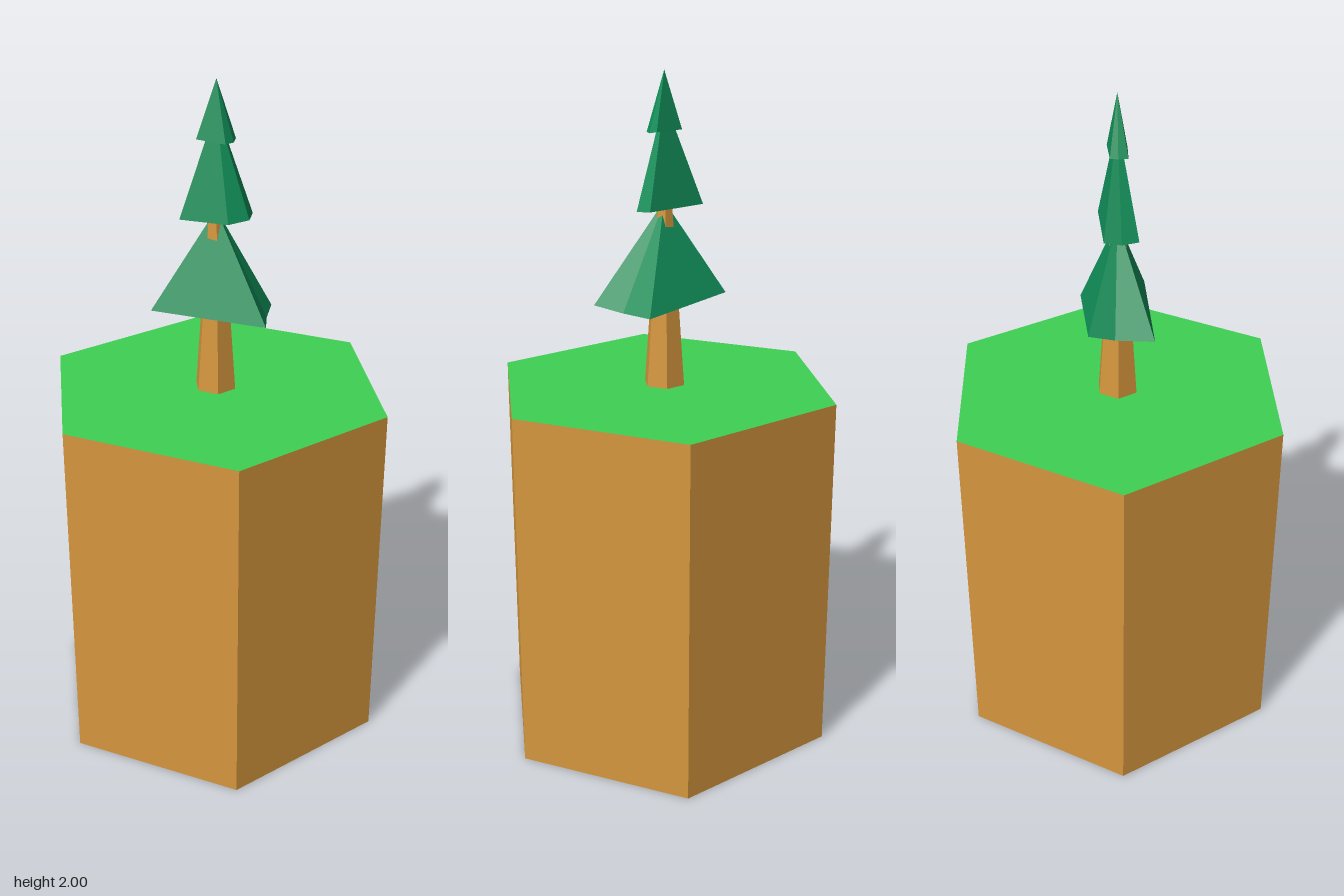
import * as THREE from 'three';

const material = (color) => new THREE.MeshStandardMaterial({ color, flatShading: true });

function addMesh(group, name, geometry, mat) {
  const mesh = new THREE.Mesh(geometry, mat);
  mesh.name = name;
  group.add(mesh);
  return mesh;
}

// Uneven pyramid: ring of [x, y, z] points around the tree, joined to an apex and closed below
function foliageTier(ring, apexY) {
  const apex = [0, apexY, 0];
  const centre = [0, ring.reduce((sum, p) => sum + p[1], 0) / ring.length, 0];
  const positions = [];
  ring.forEach((p, i) => {
    const next = ring[(i + 1) % ring.length];
    positions.push(...apex, ...next, ...p, ...centre, ...p, ...next);
  });
  const geometry = new THREE.BufferGeometry();
  geometry.setAttribute('position', new THREE.Float32BufferAttribute(positions, 3));
  geometry.computeVertexNormals();
  return geometry;
}

export function createModel() {
  const model = new THREE.Group();
  model.name = 'treeTile';
  const earth = material(0xd6973e);
  const grass = material(0x3fd052);
  const leaf = material(0x11905a);

  // Hexagonal block of earth with a grass top face
  const H = 1.09;
  const block = new THREE.CylinderGeometry(0.53, 0.53, H, 6);
  block.translate(0, H / 2, 0);
  addMesh(model, 'earthBlock', block, [earth, grass, earth]);

  // Tapered trunk
  const trunk = new THREE.CylinderGeometry(0.024, 0.063, 0.53, 6);
  trunk.translate(-0.002, H + 0.265, 0);
  addMesh(model, 'trunk', trunk, earth);

  // Three lopsided foliage tiers
  const tiers = [
    ['lowerFoliage', 1.635, [
      [-0.19, 1.34, 0.005], [-0.125, 1.34, -0.085], [-0.097, 1.36, -0.155],
      [0.165, 1.33, -0.025], [0.137, 1.33, 0.07], [0.12, 1.34, 0.17]]],
    ['middleFoliage', 1.92, [
      [-0.105, 1.61, 0.005], [-0.095, 1.61, -0.045], [-0.075, 1.62, -0.09],
      [0.103, 1.62, 0], [0.087, 1.615, 0.048], [0.025, 1.61, 0.068]]],
    ['upperFoliage', 2, [
      [-0.056, 1.835, 0], [-0.045, 1.835, -0.025], [-0.03, 1.835, -0.042],
      [0.054, 1.835, 0], [0.045, 1.83, 0.025], [0.02, 1.83, 0.045]]],
  ];
  for (const [name, apexY, ring] of tiers) {
    addMesh(model, name, foliageTier(ring, apexY), leaf);
  }
  return model;
}
